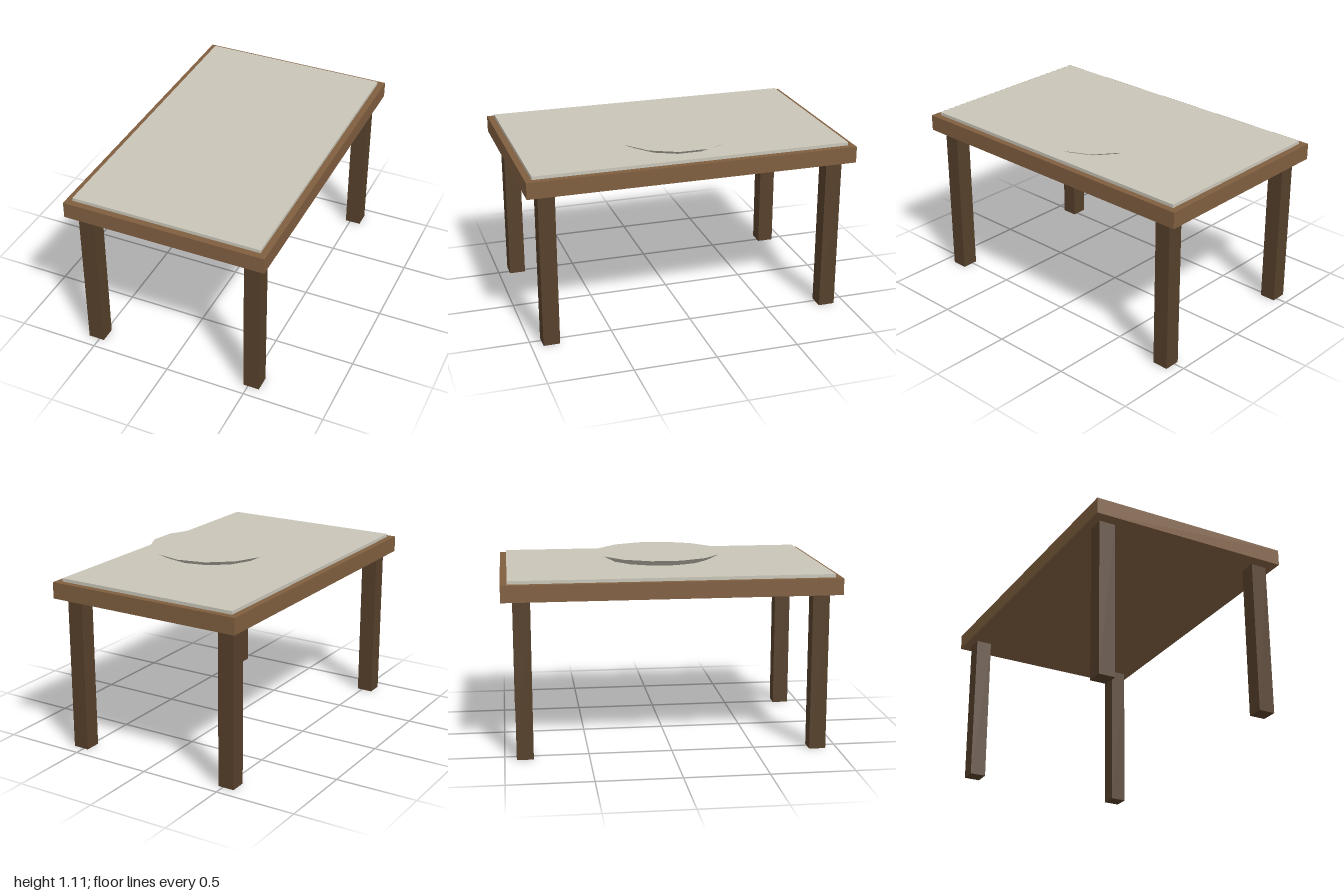
import * as THREE from 'three';

export function createModel() {
  const model = new THREE.Group();
  model.name = 'diningTable';

  const material = (name, color) => {
    const m = new THREE.MeshStandardMaterial({ color });
    m.name = name;
    return m;
  };
  const wood = material('wood', 0x805f40);
  const darkWood = material('darkWood', 0x56402b);
  const linen = material('linen', 0xc9c5b8);

  const add = (name, geometry, mat, x, y, z) => {
    const mesh = new THREE.Mesh(geometry, mat);
    mesh.name = name;
    mesh.position.set(x, y, z);
    model.add(mesh);
  };

  // Four square legs
  const legHeight = 0.953;
  const legGeometry = new THREE.BoxGeometry(0.1, legHeight, 0.1);
  for (const [sideName, sx] of [['Left', 1], ['Right', -1]]) {
    for (const [endName, sz] of [['front', 1], ['back', -1]]) {
      add(`${endName}${sideName}Leg`, legGeometry, darkWood, sx * 0.52, legHeight / 2, sz * 0.88);
    }
  }

  // Thick top with a thin cloth laid over it
  add('tableTop', new THREE.BoxGeometry(1.24, 0.099, 2), wood, 0, 1.0025, 0);
  add('tableCloth', new THREE.BoxGeometry(1.16, 0.02, 1.92), linen, 0, 1.062, 0);

  // Shallow flared plate, off centre
  add('plate', new THREE.CylinderGeometry(0.4, 0.32, 0.04, 14), linen, 0.157, 1.092, 0);

  return model;
}
